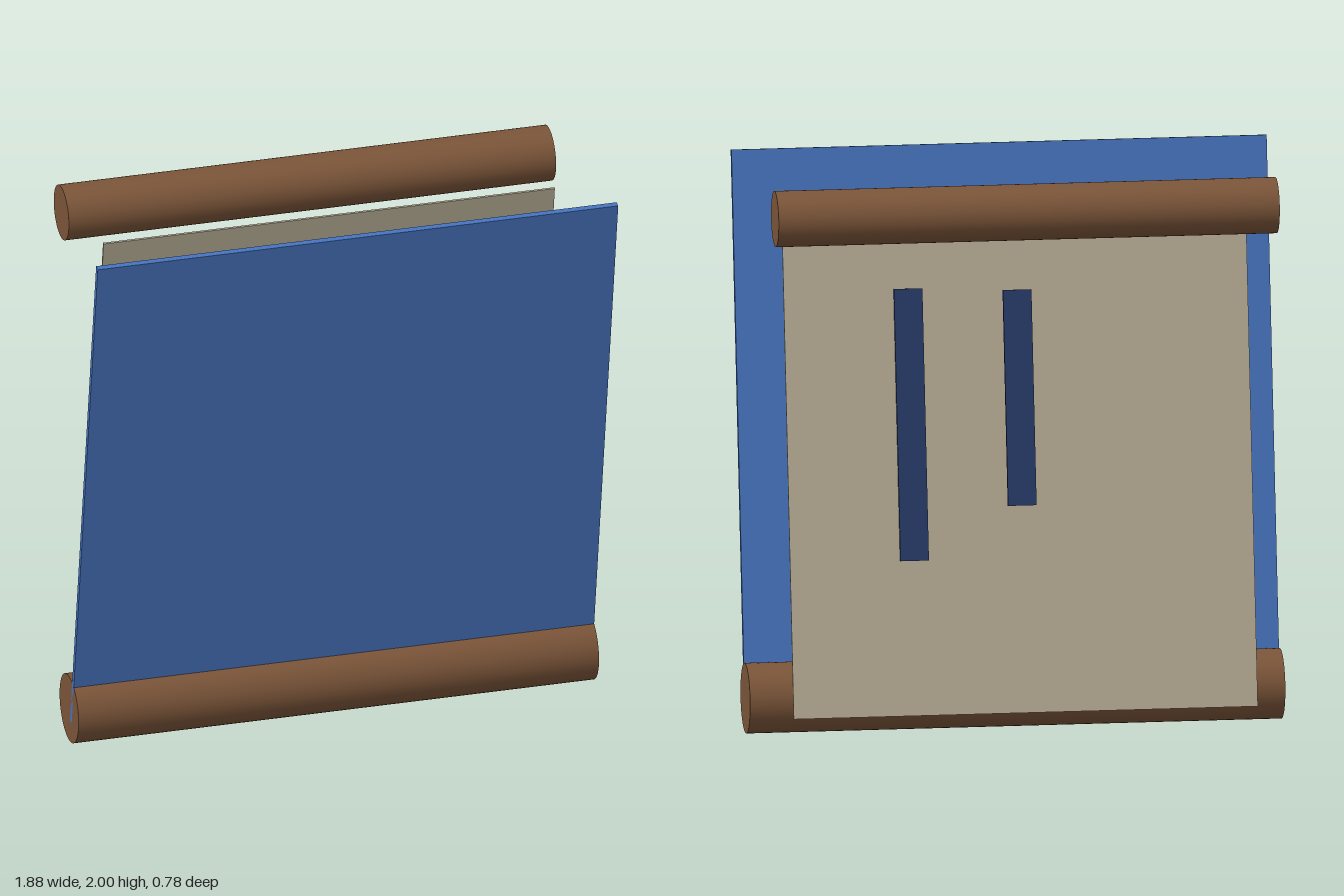
import * as THREE from 'three';

const LEAN = THREE.MathUtils.degToRad(10);

export function createModel() {
  const colour = (name, hex) => {
    const m = new THREE.MeshStandardMaterial({ color: hex });
    m.name = name;
    return m;
  };
  const wood = colour('brown wood', 0x7b5539);
  const blue = colour('blue cloth', 0x4673be);
  const paper = colour('beige paper', 0xb6ac95);
  const ink = colour('navy ink', 0x273a68);

  const group = new THREE.Group();
  group.name = 'hangingScroll';

  const add = (name, geometry, material, x, y, z) => {
    const mesh = new THREE.Mesh(geometry, material);
    mesh.name = name;
    mesh.position.set(x, y, z);
    group.add(mesh);
    return mesh;
  };

  // Round rod lying along x
  const rod = (name, radius, length, y, z) => {
    const g = new THREE.CylinderGeometry(radius, radius, length, 48).rotateZ(Math.PI / 2);
    add(name, g, wood, 0, y, z);
  };

  // Flat slab leaning forward, given its bottom and top heights and the z of its top edge
  const slab = (name, material, x, width, thickness, yBottom, yTop, zTop) => {
    const rise = yTop - yBottom;
    const g = new THREE.BoxGeometry(width, rise / Math.cos(LEAN), thickness);
    const zMid = zTop - (rise / 2) * Math.tan(LEAN);
    add(name, g, material, x, (yBottom + yTop) / 2, zMid).rotation.x = LEAN;
  };

  // Rods
  rod('bottomRod', 0.123, 1.88, 0.123, 0.021);
  rod('topRod', 0.098, 1.76, 1.887, -0.294);

  // Sheets
  slab('backingPanel', blue, 0, 1.88, 0.022, 0.08, 1.998, 0.381);
  slab('paperSheet', paper, 0, 1.63, 0.008, 0.11, 1.905, 0.016);

  // Written columns, one in front of the sheet and two behind it
  slab('leftColumn', ink, 0.38, 0.1, 0.012, 0.645, 1.578, -0.06);
  slab('middleColumn', ink, 0, 0.1, 0.013, 0.828, 1.568, -0.081);
  slab('rightColumn', ink, -0.38, 0.1, 0.012, 0.516, 1.626, -0.027);

  return group;
}
